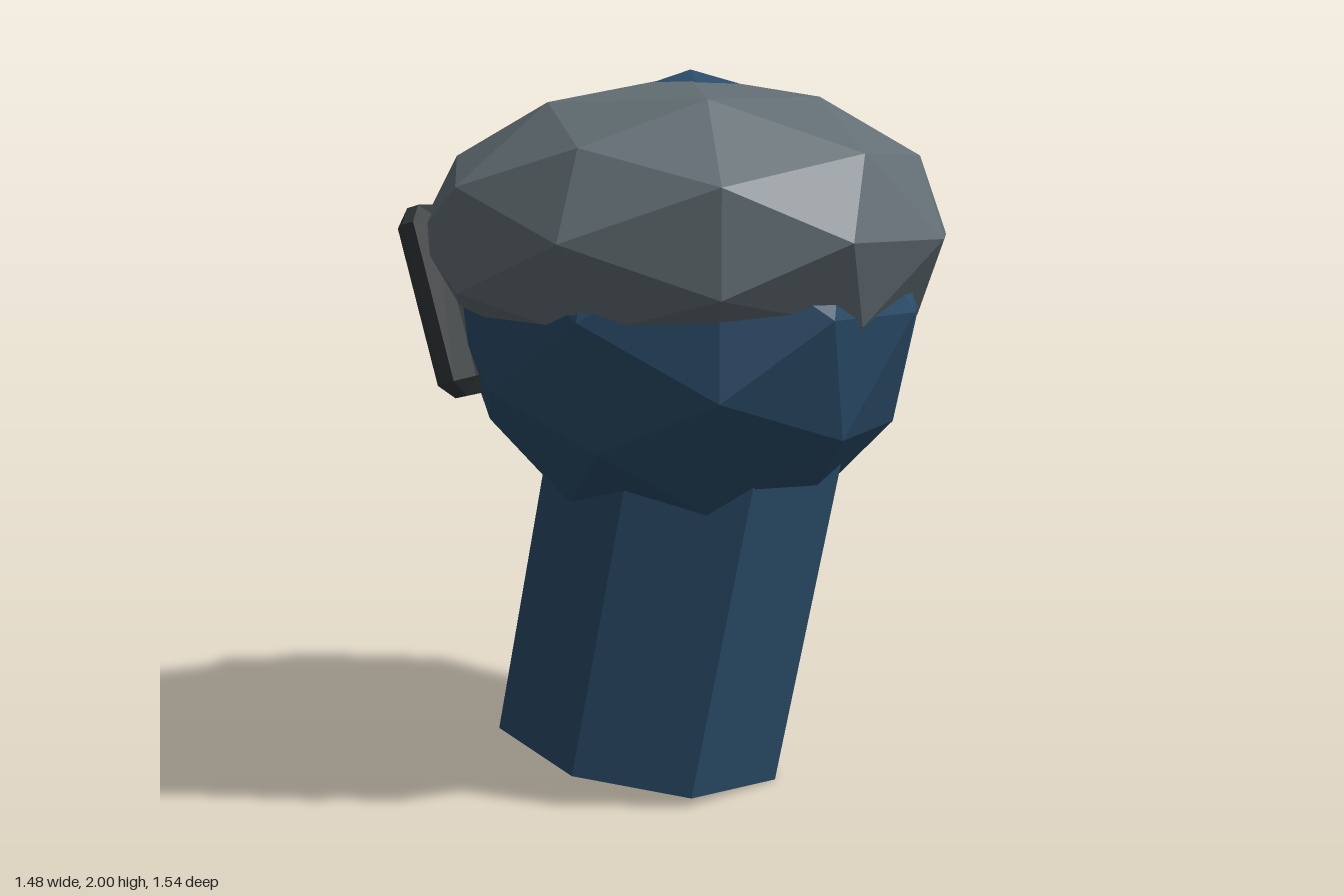
import * as THREE from 'three';
import { ConvexGeometry } from 'three/addons/geometries/ConvexGeometry.js';

const flat = (color) => new THREE.MeshStandardMaterial({ color, flatShading: true });

// Box with every edge and corner chamfered by b
function chamferedBox(hx, hy, hz, b) {
  const points = [];
  for (const x of [-1, 1]) for (const y of [-1, 1]) for (const z of [-1, 1]) {
    points.push(
      new THREE.Vector3(x * hx, y * (hy - b), z * (hz - b)),
      new THREE.Vector3(x * (hx - b), y * hy, z * (hz - b)),
      new THREE.Vector3(x * (hx - b), y * (hy - b), z * hz)
    );
  }
  return new ConvexGeometry(points);
}

export function createModel() {
  const group = new THREE.Group();
  const blue = flat(0x2b4d6b);
  const grey = flat(0x626e74);
  const dark = flat(0x33393b);

  const add = (name, geometry, material, x, y, z) => {
    const mesh = new THREE.Mesh(geometry, material);
    mesh.name = name;
    mesh.position.set(x, y, z);
    group.add(mesh);
    return mesh;
  };
  const ball = (sx, sy, sz) => new THREE.IcosahedronGeometry(1, 1).scale(sx, sy, sz);

  // Leaning eight-sided stem, its top end buried in the rounded body
  const stem = new THREE.CylinderGeometry(0.433, 0.433, 1.1, 8).translate(0, 0.55, 0);
  add('stem', stem, blue, -0.15, 0.09, 0).rotation.z = -0.2;

  // Faceted body and the flatter cap over it
  add('body', ball(0.655, 0.65, 0.69), blue, 0.01, 1.35, 0);
  add('cap', ball(0.74, 0.44, 0.77), grey, 0, 1.545, 0);

  // Tilted plate on the right side
  add('sidePlate', chamferedBox(0.063, 0.265, 0.495, 0.045), dark, -0.54, 1.372, 0).rotation.z = 0.27;

  return group;
}
